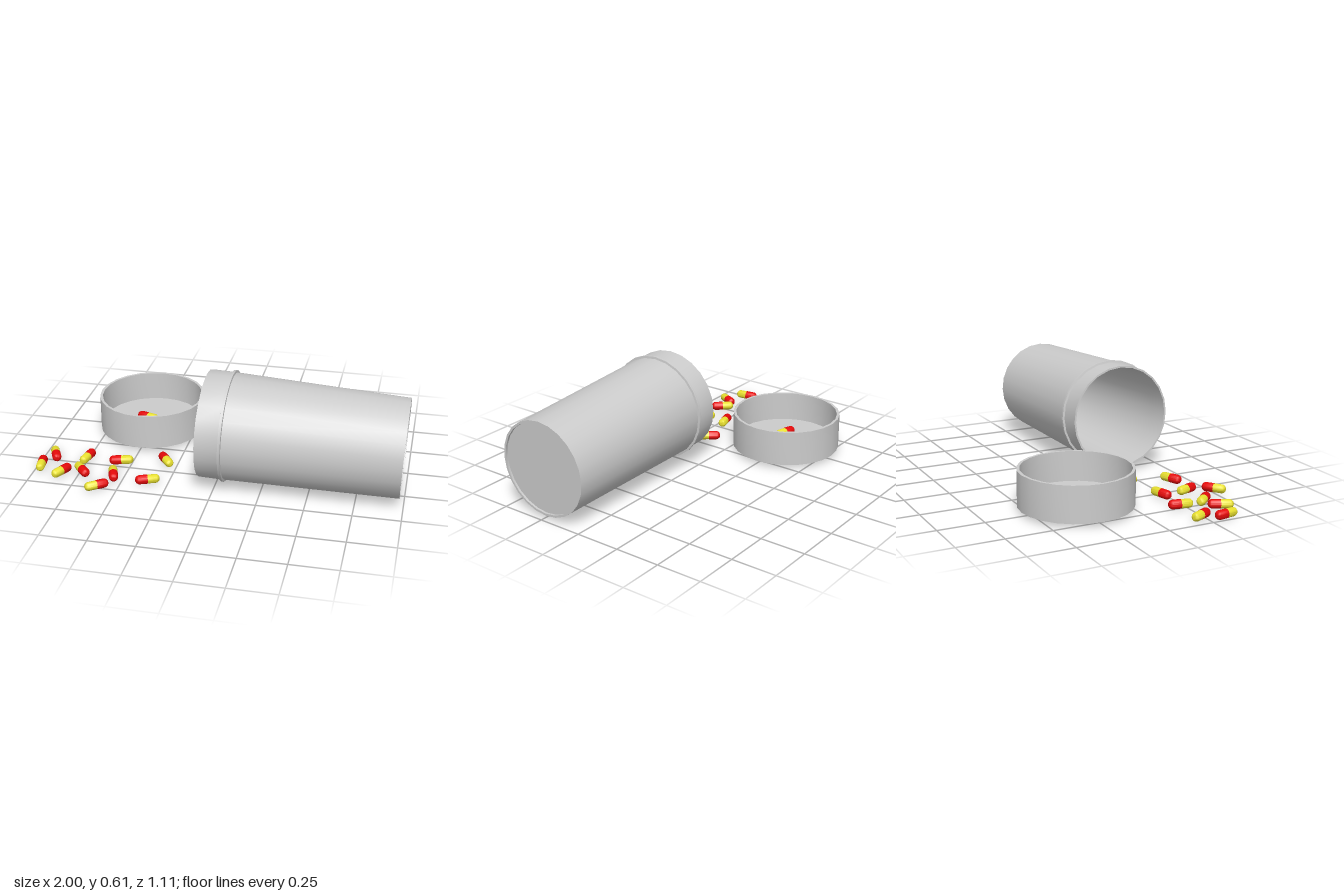
import * as THREE from 'three';
import { toCreasedNormals } from 'three/addons/utils/BufferGeometryUtils.js';

const grey = new THREE.MeshStandardMaterial({ color: 0xcccccc });
const red = new THREE.MeshStandardMaterial({ color: 0xe60a0a });
const yellow = new THREE.MeshStandardMaterial({ color: 0xe8e030 });

// Turned part from [radius, height] pairs, with sharp corners kept
function turned(name, profile, material, segments = 24) {
  const points = profile.map(([r, y]) => new THREE.Vector2(r, y));
  const geometry = toCreasedNormals(new THREE.LatheGeometry(points, segments), 0.7);
  const mesh = new THREE.Mesh(geometry, material);
  mesh.name = name;
  return mesh;
}

// Half a capsule: a short tube from y = 0 closed by a round cap
function capsuleHalf(name, radius, length, material) {
  const profile = [[0, 0], [radius, 0]];
  for (let i = 0; i <= 5; i++) {
    const a = (i / 5) * Math.PI / 2;
    profile.push([i === 5 ? 0 : radius * Math.cos(a), length - radius + radius * Math.sin(a)]);
  }
  return turned(name, profile, material, 16);
}

// Two-coloured capsule; dir points to its red end
function makePill(name, position, dir) {
  const pill = new THREE.Group();
  pill.name = name;
  const yellowHalf = capsuleHalf('yellowHalf', 0.024, 0.0665, yellow);
  yellowHalf.rotation.x = Math.PI;
  pill.add(capsuleHalf('redHalf', 0.025, 0.0665, red), yellowHalf);
  pill.position.set(...position);
  pill.quaternion.setFromUnitVectors(new THREE.Vector3(0, 1, 0), new THREE.Vector3(...dir).normalize());
  return pill;
}

export function createModel() {
  const model = new THREE.Group();
  model.name = 'spilledPillBottle';

  // Tapered hollow bottle with recessed base, bead and straight neck, lying on its side
  const bottle = turned('bottle', [
    [0, 0.012], [0.25, 0.012], [0.25, 0], [0.262, 0],
    [0.286, 0.917], [0.298, 0.919], [0.298, 0.932], [0.287, 0.934],
    [0.287, 1.057], [0.277, 1.057], [0.275, 0.925], [0.25, 0.03], [0, 0.03],
  ], grey);
  bottle.rotation.z = THREE.MathUtils.degToRad(88);
  bottle.position.set(0.986, 0.28, 0.239);
  model.add(bottle);

  // Upturned lid
  const lid = turned('lid', [
    [0, 0], [0.302, 0], [0.302, 0.195], [0.287, 0.195], [0.287, 0.03], [0, 0.03],
  ], grey);
  lid.position.set(-0.5, 0.02, -0.253);
  model.add(lid);

  // Loose pills on the ground: x, z, then direction of the red end
  const pills = [
    [-0.933, 0.22, 9, 19], [-0.973, 0.34, -3, -20], [-0.75, 0.214, 4, -20],
    [-0.556, 0.215, -19, 5], [-0.316, 0.161, -13, -17], [-0.84, 0.396, 9, -18],
    [-0.735, 0.361, 14, 16], [-0.556, 0.369, 7, 20], [-0.358, 0.393, -20, 8],
    [-0.607, 0.507, 16, -12],
  ];
  pills.forEach(([x, z, dx, dz], i) => {
    model.add(makePill(`loosePill${i + 1}`, [x, 0.025, z], [dx, 0, dz]));
  });

  // One pill in the lid and one left in the bottle
  model.add(makePill('lidPill', [-0.524, 0.075, -0.233], [-21, 0, -6]));
  model.add(makePill('bottlePill', [0.62, 0.067, 0.195], [-0.3, -0.35, -0.87]));

  return model;
}
